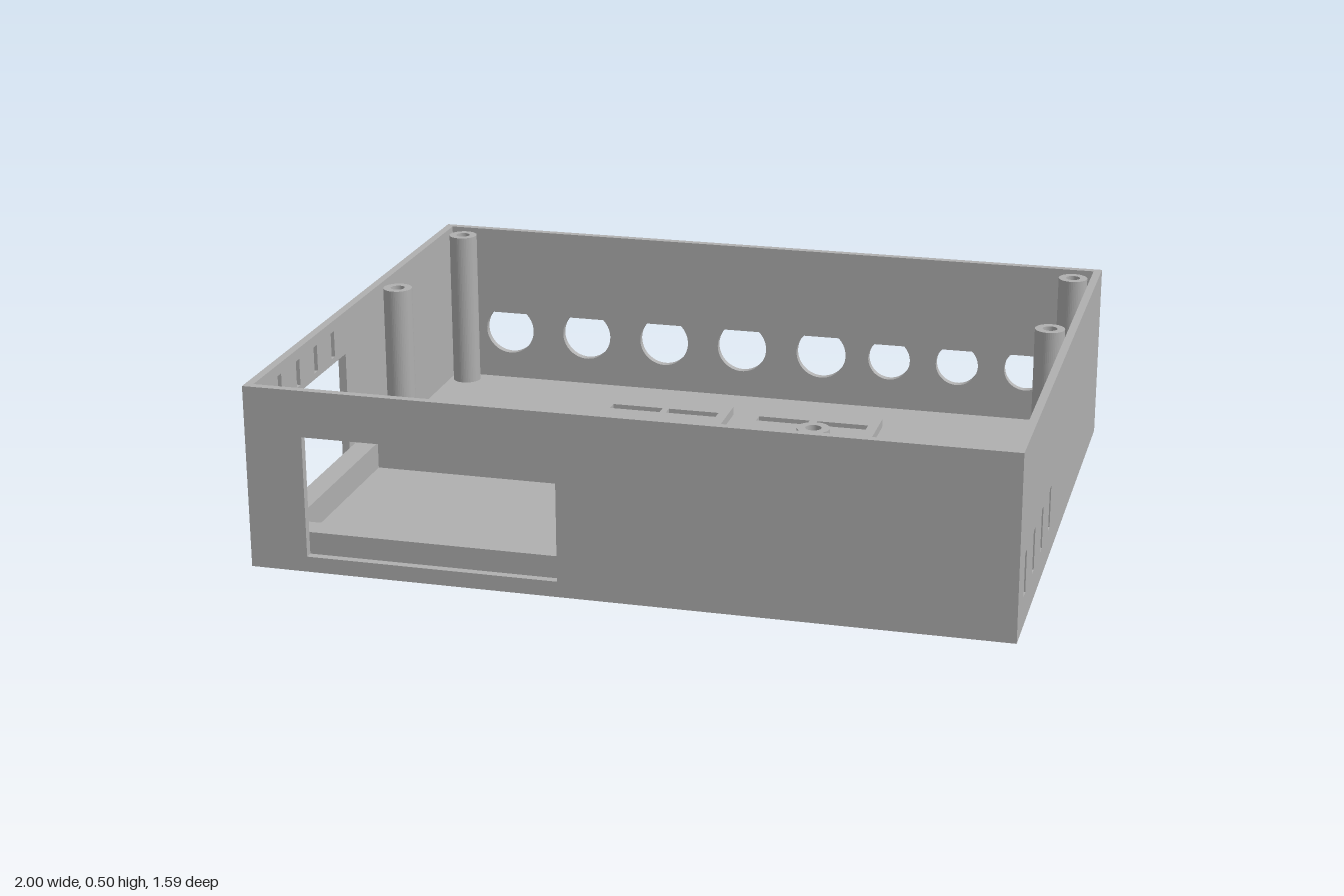
import * as THREE from 'three';

const W = 1, D = 0.795, H = 0.495; // half width, half depth, height
const T = 0.022, F = 0.025;        // wall and floor thickness

const grey = new THREE.MeshStandardMaterial({ color: 0xb0b0b0 });
grey.name = 'grey plastic';

// Closed outlines: rectangle, circle and teardrop
function rect(Type, x0, x1, y0, y1) {
  return new Type([[x0, y0], [x1, y0], [x1, y1], [x0, y1]].map(p => new THREE.Vector2(...p)));
}
function circle(x, y, r) {
  const p = new THREE.Path();
  p.absarc(x, y, r, 0, Math.PI * 2);
  return p;
}
function drop(x, y, r) {
  const p = new THREE.Path();
  p.moveTo(x, y + r * Math.SQRT2);
  p.absarc(x, y, r, Math.PI * 3 / 4, Math.PI * 9 / 4, false);
  p.closePath();
  return p;
}

function panel(x0, x1, y0, y1, depth, holes = []) {
  const shape = rect(THREE.Shape, x0, x1, y0, y1);
  shape.holes.push(...holes);
  return new THREE.ExtrudeGeometry(shape, { depth, bevelEnabled: false, curveSegments: 32 });
}
// Horizontal slab given in x and z, with its underside at y
function slab(x0, x1, z0, z1, y, depth, holes) {
  return panel(x0, x1, -z1, -z0, depth, holes).rotateX(-Math.PI / 2).translate(0, y, 0);
}
// Side wall drawn in z and y, with its outer or inner face at x
function sideWall(x, holes) {
  return panel(-D + T, D - T, F, H, T, holes).rotateY(-Math.PI / 2).translate(x, 0, 0);
}

export function createModel() {
  const model = new THREE.Group();
  model.name = 'enclosure';
  const add = (name, geometry, x = 0, y = 0, z = 0) => {
    const mesh = new THREE.Mesh(geometry, grey);
    mesh.name = name;
    mesh.position.set(x, y, z);
    model.add(mesh);
  };
  const block = (name, x0, x1, z0, z1, top) =>
    add(name, new THREE.BoxGeometry(x1 - x0, top - F, z1 - z0), (x0 + x1) / 2, (top + F) / 2, (z0 + z1) / 2);

  // Vented mounting pads: x0, x1, z0, z1, thickness, slot z, slot start xs
  const pads = [
    [-0.44, -0.05, -0.6, -0.435, 0.025, -0.517, [-0.403, -0.232]],
    [0.01, 0.4, -0.6, -0.435, 0.025, -0.517, [0.043, 0.218]],
    [-0.565, 0.047, -0.397, -0.062, 0.015, -0.228, [-0.472, -0.2]],
    [0.085, 0.535, -0.328, -0.125, 0.025, -0.228, [0.135, 0.333]],
  ];
  const ventSlots = ([, , , , , z, xs]) => xs.map(x => rect(THREE.Path, x, x + 0.152, -z - 0.018, -z + 0.018));
  for (const p of pads) add('ventPad', slab(p[0], p[1], p[2], p[3], F, p[4], ventSlots(p)));

  // Floor with vent slots and two screw holes
  const standoffs = [[0.1, 0.285], [0.29, 0.285]];
  add('floor', slab(-W, W, -D, D, 0, F, [
    ...pads.flatMap(ventSlots),
    ...standoffs.map(([x, z]) => circle(x, -z, 0.014)),
  ]));

  // Front wall with display window
  add('frontWall', panel(-W, W, F, H, T, [rect(THREE.Path, -0.845, -0.17, 0.042, 0.37)]), 0, 0, D - T);

  // Back wall with five large and three small teardrop openings
  const drops = [-0.8, -0.555, -0.31, -0.067, 0.177].map(x => drop(x, 0.179, 0.075));
  drops.push(...[0.384, 0.588, 0.792].map(x => drop(x, 0.178, 0.063)));
  add('backWall', panel(-W, W, F, H, T, drops), 0, 0, -D);

  // Left wall with low vent slots
  add('leftWall', sideWall(W, [0.235, 0.385, 0.535, 0.685].map(z =>
    rect(THREE.Path, z - 0.015, z + 0.015, 0.085, 0.2))));

  // Right wall with window and high vent slots
  add('rightWall', sideWall(-W + T, [
    rect(THREE.Path, 0.14, 0.62, 0.045, 0.375),
    ...[0.23, 0.355, 0.48, 0.605].map(z => rect(THREE.Path, z - 0.012, z + 0.012, 0.392, 0.465)),
  ]));

  // Hollow screw posts and short standoffs
  const tube = (outer, inner, y0, y1) => {
    const ring = new THREE.Shape();
    ring.absarc(0, 0, outer, 0, Math.PI * 2);
    ring.holes.push(circle(0, 0, inner));
    return new THREE.ExtrudeGeometry(ring, { depth: y1 - y0, bevelEnabled: false, curveSegments: 24 })
      .rotateX(-Math.PI / 2).translate(0, y0, 0);
  };
  for (const [x, z] of [[-0.928, -0.725], [0.925, -0.725], [-0.928, -0.152], [0.925, -0.228], [0.47, 0.716]])
    add('screwPost', tube(0.041, 0.02, F, 0.485), x, 0, z);
  for (const [x, z] of standoffs) add('standoff', tube(0.028, 0.014, F, 0.078), x, 0, z);

  // Raised tray frame beneath the windows
  add('trayFrame', slab(-0.975, -0.042, 0.02, 0.768, F, 0.1 - F,
    [rect(THREE.Path, -0.915, -0.107, -0.7, -0.085)]));

  // Corner brackets around the tray
  block('trayBracket', -W + T, -0.89, -0.005, 0.015, 0.15);
  block('trayBracket', -0.13, -0.02, -0.005, 0.015, 0.15);
  block('trayBracket', -0.04, -0.02, 0.015, 0.105, 0.15);
  block('trayBracket', -0.04, -0.02, 0.68, D - T, 0.15);

  // U-shaped holder rails
  block('holderRail', 0.342, 0.877, 0.235, 0.25, 0.065);
  block('holderRail', 0.342, 0.877, 0.46, 0.475, 0.065);
  block('holderEnd', 0.342, 0.356, 0.25, 0.46, 0.065);

  return model;
}
